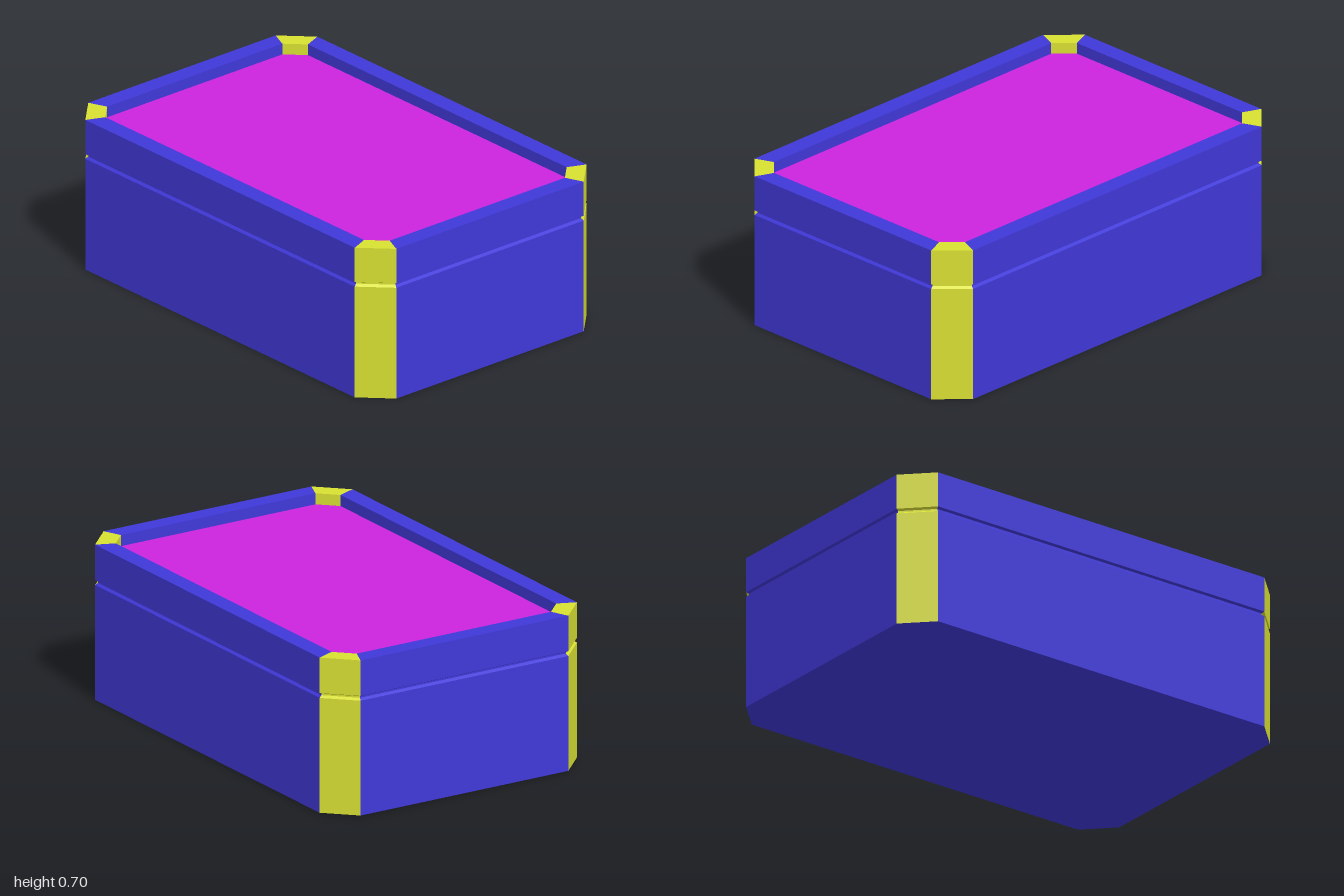
import * as THREE from 'three';

const HALF_X = 1, HALF_Z = 0.655, CUT = 0.126;

// Chamfered rectangle, inset evenly by d; counterclockwise seen from above (y = -z)
function outline(d) {
  const x = HALF_X - d, y = HALF_Z - d, c = CUT - d * (2 - Math.SQRT2);
  return [
    [x, c - y], [x, y - c], [x - c, y], [c - x, y],
    [-x, y - c], [-x, c - y], [c - x, -y], [x - c, -y],
  ].map(([a, b]) => new THREE.Vector2(a, b));
}

// Sweep a profile of [inset, height] along every second side (0 = walls, 1 = corners)
function sweep(profile, first) {
  const pos = [];
  const rings = profile.map(([d, y]) => outline(d).map(p => new THREE.Vector3(p.x, y, -p.y)));
  for (let r = 0; r < rings.length - 1; r++) {
    for (let i = first; i < 8; i += 2) {
      const j = (i + 1) % 8;
      const a = rings[r][i], b = rings[r][j], c = rings[r + 1][j], d = rings[r + 1][i];
      for (const v of [a, b, c, a, c, d]) pos.push(v.x, v.y, v.z);
    }
  }
  const geo = new THREE.BufferGeometry();
  geo.setAttribute('position', new THREE.Float32BufferAttribute(pos, 3));
  geo.computeVertexNormals();
  return geo;
}

function plate(d, y, up) {
  const geo = new THREE.ShapeGeometry(new THREE.Shape(outline(d)));
  return geo.rotateX(up ? -Math.PI / 2 : Math.PI / 2).translate(0, y, 0);
}

export function createModel() {
  const material = (name, color) => {
    const m = new THREE.MeshStandardMaterial({ color });
    m.name = name;
    return m;
  };
  const blue = material('blue', 0x4038d8);
  const yellow = material('yellow', 0xd8e032);
  const magenta = material('magenta', 0xcc24de);

  const model = new THREE.Group();
  model.name = 'box';
  const group = name => {
    const g = new THREE.Group();
    g.name = name;
    model.add(g);
    return g;
  };
  const add = (parent, name, geo, mat) => {
    const mesh = new THREE.Mesh(geo, mat);
    mesh.name = name;
    parent.add(mesh);
  };

  // Base, ending in the sloped lower half of the seam
  const base = group('base');
  const baseProfile = [[0, 0], [0, 0.518], [0.012, 0.527], [0.012, 0.534]];
  add(base, 'baseWalls', sweep(baseProfile, 0), blue);
  add(base, 'baseCorners', sweep(baseProfile, 1), yellow);
  add(base, 'floor', plate(0, 0, false), blue);

  // Lid with a raised rim around a sunken panel
  const lid = group('lid');
  const lidProfile = [[0.012, 0.534], [0, 0.54], [0, 0.7], [0.083, 0.7], [0.083, 0.65]];
  add(lid, 'lidWalls', sweep(lidProfile, 0), blue);
  add(lid, 'lidCorners', sweep(lidProfile, 1), yellow);
  add(lid, 'lidPanel', plate(0.083, 0.65, true), magenta);

  return model;
}
